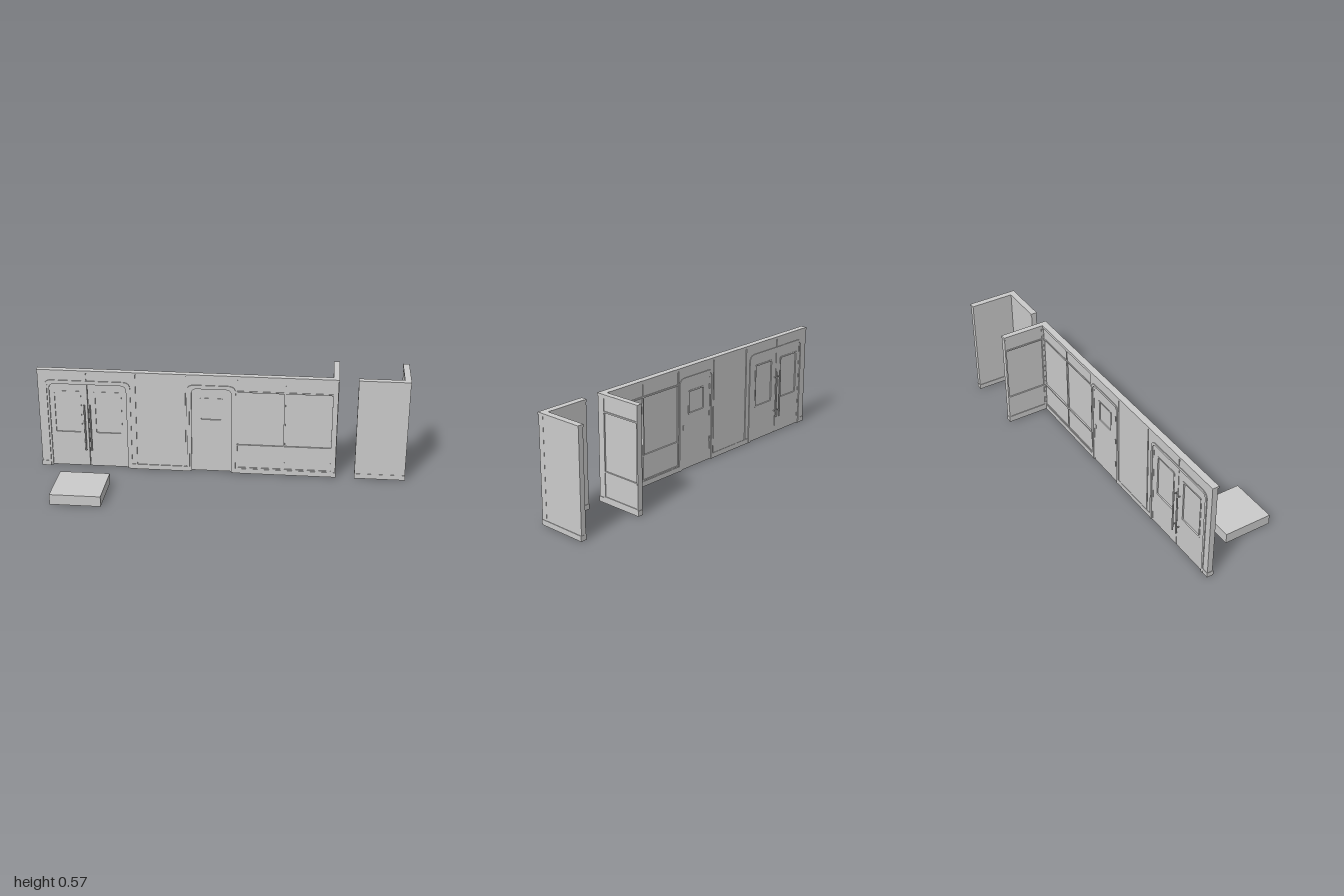
import * as THREE from 'three';

const mat = new THREE.MeshStandardMaterial({ color: 0xcccccc, side: THREE.DoubleSide });
const H = 0.571, BASE = 0.028, CAP = 0.558;
const Z0 = -0.127, Z1 = -0.09, ZEND = -0.363; // back face, front face, end of the returns

function add(parent, name, geometry) {
  const m = new THREE.Mesh(geometry, mat);
  m.name = name;
  parent.add(m);
  return m;
}

// Box given by its extents
function box(parent, name, x0, x1, y0, y1, z0, z1) {
  const m = add(parent, name, new THREE.BoxGeometry(x1 - x0, y1 - y0, z1 - z0));
  m.position.set((x0 + x1) / 2, (y0 + y1) / 2, (z0 + z1) / 2);
}

// Shape extruded between two z planes
function slab(parent, name, shape, z0, z1) {
  const m = add(parent, name, new THREE.ExtrudeGeometry(shape, { depth: z1 - z0, bevelEnabled: false, curveSegments: 6 }));
  m.position.z = z0;
}

// Rectangle with rounded corners; radii: upper left, upper right, lower
function roundRect(x0, x1, y0, y1, rl, rr = rl, rb = rl, Type = THREE.Shape) {
  const p = new Type();
  p.moveTo(x0 + rb, y0);
  p.lineTo(x1 - rb, y0);
  p.quadraticCurveTo(x1, y0, x1, y0 + rb);
  p.lineTo(x1, y1 - rr);
  p.quadraticCurveTo(x1, y1, x1 - rr, y1);
  p.lineTo(x0 + rl, y1);
  p.quadraticCurveTo(x0, y1, x0, y1 - rl);
  p.lineTo(x0, y0 + rb);
  p.quadraticCurveTo(x0, y0, x0 + rb, y0);
  return p;
}

// Adds an arched doorway outline, walking left to right, to an open path
function doorway(p, x0, x1, top, r) {
  p.lineTo(x0, 0);
  p.lineTo(x0, top - r);
  p.quadraticCurveTo(x0, top, x0 + r, top);
  p.lineTo(x1 - r, top);
  p.quadraticCurveTo(x1, top, x1, top - r);
  p.lineTo(x1, 0);
}

// Stepped doorway surround
function doorFrame(parent, x0, x1, top, w) {
  const arch = (a, b) => {
    const s = new THREE.Shape();
    s.moveTo(x0 + a, 0);
    doorway(s, x0 + a, x1 - a, top - a, 0.04 - a * 0.5);
    s.lineTo(x1 - b, 0);
    s.lineTo(x1 - b, top - b - 0.03);
    s.quadraticCurveTo(x1 - b, top - b, x1 - b - 0.03, top - b);
    s.lineTo(x0 + b + 0.03, top - b);
    s.quadraticCurveTo(x0 + b, top - b, x0 + b, top - b - 0.03);
    s.lineTo(x0 + b, 0);
    return s;
  };
  slab(parent, 'doorFrameOuter', arch(0, w * 0.65), Z0 - 0.002, Z1);
  slab(parent, 'doorFrameInner', arch(w * 0.6, w + 0.004), Z0 + 0.002, Z1 - 0.007);
}

// Door leaf with a trimmed window
function doorLeaf(parent, x0, x1, top, rl, rr, win) {
  const [a, b, c, d] = win;
  const leaf = roundRect(x0, x1, 0.002, top, rl, rr, 0);
  leaf.holes.push(roundRect(a, b, c, d, 0.008, 0.008, 0.008, THREE.Path));
  slab(parent, 'doorLeaf', leaf, -0.124, -0.105);
  const trim = roundRect(a - 0.004, b + 0.004, c - 0.004, d + 0.004, 0.01);
  trim.holes.push(roundRect(a + 0.004, b - 0.004, c + 0.004, d - 0.004, 0.006, 0.006, 0.006, THREE.Path));
  slab(parent, 'doorWindowTrim', trim, -0.126, -0.103);
  box(parent, 'doorGlass', a, b, c, d, -0.119, -0.11);
}

// Vertical pull bar with two standoffs, on the given side of the door
function pullBar(parent, x, side) {
  const zc = -0.118;
  const bar = add(parent, 'pullBar', new THREE.CylinderGeometry(0.0045, 0.0045, 0.27, 10));
  bar.position.set(x, 0.235, zc + side * 0.024);
  for (const y of [0.135, 0.335]) {
    const post = add(parent, 'pullBarPost', new THREE.CylinderGeometry(0.003, 0.003, 0.02, 8));
    post.rotation.x = Math.PI / 2;
    post.position.set(x, y, zc + side * 0.014);
  }
}

// Glazed bay along x from 0: lower panel, window, transom panel, rails and mullions
function glazedBay(parent, length, divisions) {
  const g = new THREE.Group();
  g.name = 'glazedBay';
  box(g, 'lowerPanel', 0, length, BASE, 0.165, -0.012, 0.012);
  box(g, 'transomPanel', 0, length, 0.48, CAP, -0.012, 0.012);
  box(g, 'glass', 0, length, 0.165, 0.48, -0.008, 0.008);
  for (const y of [BASE + 0.003, 0.167, 0.482, CAP - 0.003])
    box(g, 'rail', 0, length, y - 0.004, y + 0.004, -0.016, 0.016);
  for (let i = 0; i <= divisions; i++) {
    const x = (length * i) / divisions;
    box(g, 'mullion', x - 0.004, x + 0.004, BASE, CAP, -0.0155, 0.0155);
  }
  parent.add(g);
  return g;
}

function mainWall() {
  const g = new THREE.Group();
  g.name = 'mainWall';

  // Wall with both doorways cut out and open joints backed by a recessed strip
  const s = new THREE.Shape();
  s.moveTo(-0.998, 0);
  doorway(s, -0.955, -0.5, 0.505, 0.038);
  doorway(s, -0.18, 0.07, 0.505, 0.038);
  s.lineTo(0.081, 0);
  s.lineTo(0.081, CAP);
  s.lineTo(-0.998, CAP);
  for (const [x, y] of [[-0.73, 0.514], [-0.462, BASE], [-0.192, BASE]]) {
    s.holes.push(roundRect(x - 0.003, x + 0.003, y, CAP - 0.002, 0, 0, 0, THREE.Path));
    box(g, 'jointBacking', x - 0.003, x + 0.003, y, CAP, Z0 + 0.009, Z1 - 0.012);
  }
  slab(g, 'wallPanel', s, Z0 + 0.002, Z1 - 0.005);

  // Plinth between the doorways, continuous cap
  for (const [a, b] of [[-1, -0.955], [-0.5, -0.18], [0.07, 0.625]])
    box(g, 'plinth', a, b, 0, BASE, Z0, Z1);
  box(g, 'cap', -1, 0.625, CAP, H, Z0, Z1);

  // Double door
  doorFrame(g, -0.962, -0.493, 0.512, 0.02);
  doorLeaf(g, -0.943, -0.7315, 0.489, 0.03, 0, [-0.915, -0.77, 0.2, 0.442]);
  doorLeaf(g, -0.7285, -0.512, 0.489, 0, 0.03, [-0.692, -0.548, 0.2, 0.442]);
  for (const side of [1, -1]) for (const x of [-0.748, -0.717]) pullBar(g, x, side);

  // Single door with hinges
  doorFrame(g, -0.187, 0.077, 0.512, 0.02);
  doorLeaf(g, -0.167, 0.057, 0.489, 0.03, 0.03, [-0.115, 0.003, 0.305, 0.43]);
  for (const y of [0.12, 0.27, 0.42]) {
    const hinge = add(g, 'hinge', new THREE.CylinderGeometry(0.004, 0.004, 0.028, 8));
    hinge.position.set(-0.16, y, -0.125);
  }
  box(g, 'doorLatch', 0.035, 0.048, 0.225, 0.25, -0.127, -0.102);

  // Glazed bay and its return, which runs backward from the corner
  glazedBay(g, 0.515, 2).position.set(0.083, 0, (Z0 + Z1) / 2);
  box(g, 'cornerPost', 0.595, 0.622, BASE, CAP, Z0 + 0.002, Z1 - 0.003);
  const side = glazedBay(g, 0.227, 1);
  side.rotation.y = Math.PI / 2;
  side.position.set(0.609, 0, -0.13);
  box(g, 'returnPlinth', 0.593, 0.625, 0, BASE, ZEND, Z0);
  box(g, 'returnCap', 0.593, 0.625, CAP, H, ZEND, Z0);
  return g;
}

function cornerWall() {
  const g = new THREE.Group();
  g.name = 'cornerWall';
  const zb = -0.125, xi = 0.966;
  box(g, 'frontPanel', 0.726, 0.998, BASE, CAP, zb + 0.003, Z1 - 0.002);
  box(g, 'sidePanel', xi + 0.003, 0.997, BASE, CAP, ZEND + 0.001, zb + 0.003);
  for (const [name, y0, y1] of [['plinth', 0, BASE], ['cap', CAP, H]]) {
    box(g, name, 0.725, 1, y0, y1, zb, Z1);
    box(g, name, xi, 1, y0, y1, ZEND, zb);
  }
  return g;
}

export function createModel() {
  const model = new THREE.Group();
  model.name = 'shopFront';
  model.add(mainWall(), cornerWall());
  // Loose step in front of the double door
  box(model, 'step', -0.855, -0.585, 0, 0.057, 0.093, 0.363);
  return model;
}
